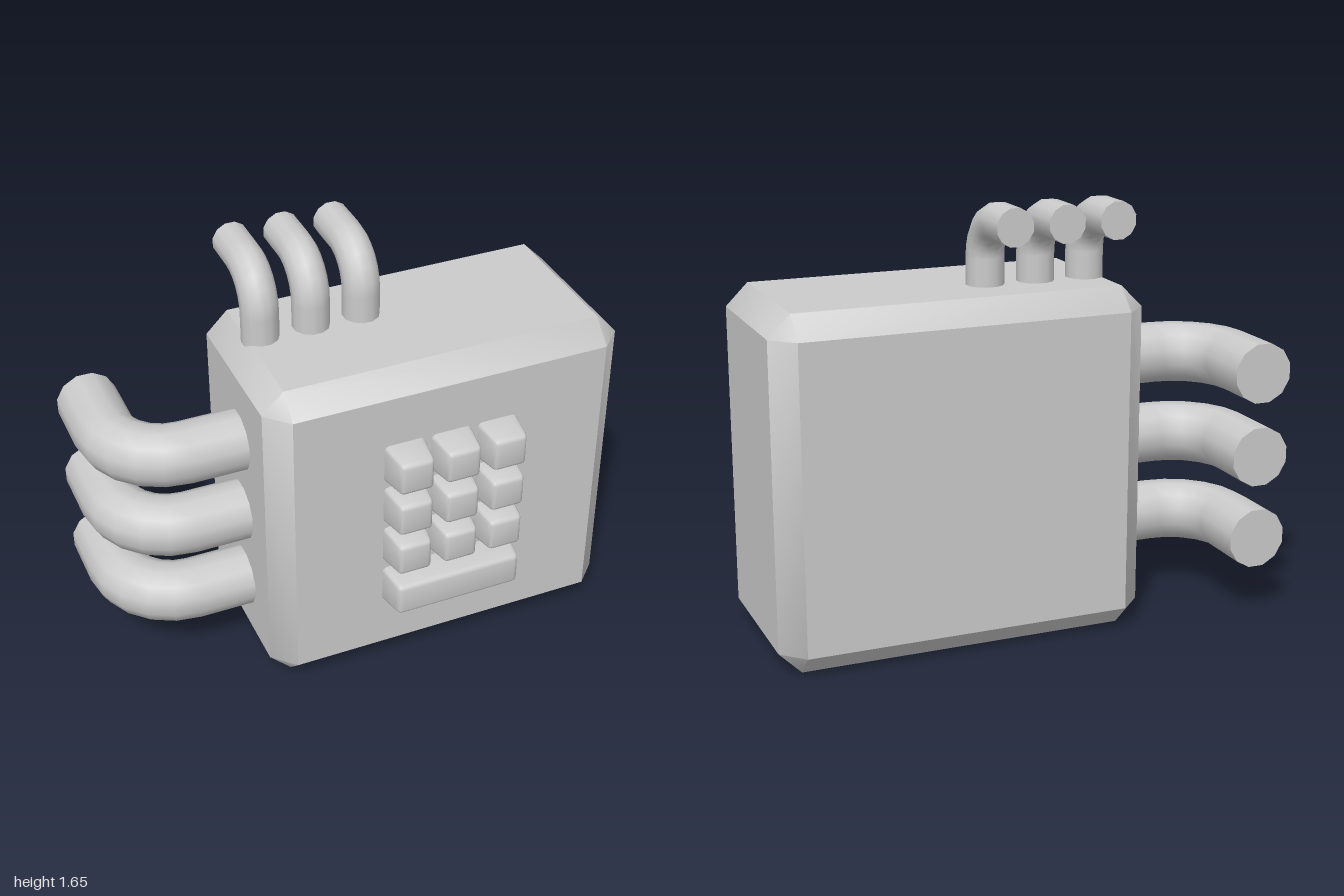
import * as THREE from 'three';
import { toCreasedNormals, mergeVertices } from 'three/addons/utils/BufferGeometryUtils.js';
import { RoundedBoxGeometry } from 'three/addons/geometries/RoundedBoxGeometry.js';
import { ConvexGeometry } from 'three/addons/geometries/ConvexGeometry.js';

const material = new THREE.MeshStandardMaterial({ color: 0xcccccc });

function addMesh(parent, name, geometry, x, y, z) {
  const mesh = new THREE.Mesh(geometry, material);
  mesh.name = name;
  mesh.position.set(x, y, z);
  parent.add(mesh);
  return mesh;
}

// Box with every edge cut at 45 degrees; bevels blend, main faces stay flat
function chamferedBox(w, h, d, c) {
  const points = [];
  for (const sx of [-1, 1]) for (const sy of [-1, 1]) for (const sz of [-1, 1]) {
    const x = w / 2, y = h / 2, z = d / 2;
    points.push(
      new THREE.Vector3(sx * x, sy * (y - c), sz * (z - c)),
      new THREE.Vector3(sx * (x - c), sy * y, sz * (z - c)),
      new THREE.Vector3(sx * (x - c), sy * (y - c), sz * z));
  }
  return toCreasedNormals(new ConvexGeometry(points), 0.7);
}

// Capped pipe rising along +y, then bending a quarter turn towards -z
function bentPipe(radius, rise, bend, run, arcSteps) {
  const rows = arcSteps + 2;
  const geo = new THREE.CylinderGeometry(radius, radius, 1, 12, rows, false, Math.PI / 12);
  const pos = geo.attributes.position, nor = geo.attributes.normal;
  for (let i = 0; i < pos.count; i++) {
    const row = Math.round((pos.getY(i) + 0.5) * rows);
    const a = THREE.MathUtils.clamp((row - 1) / arcSteps, 0, 1) * Math.PI / 2;
    const s = Math.sin(a), c = Math.cos(a);
    const cy = row === 0 ? 0 : rise + bend * s;
    const cz = -bend * (1 - c) - (row === rows ? run : 0);
    const z = pos.getZ(i), ny = nor.getY(i), nz = nor.getZ(i);
    pos.setXYZ(i, pos.getX(i), cy + z * s, cz + z * c);
    nor.setXYZ(i, nor.getX(i), ny * c + nz * s, -ny * s + nz * c);
  }
  return geo;
}

// Rounded key that narrows towards its front
function keyGeometry(w, h, d) {
  let geo = new RoundedBoxGeometry(w, h, d, 2, 0.022);
  const pos = geo.attributes.position;
  for (let i = 0; i < pos.count; i++) {
    const inset = 0.02 * (pos.getZ(i) / d + 0.5);
    pos.setX(i, pos.getX(i) * (1 - 2 * inset / w));
    pos.setY(i, pos.getY(i) * (1 - 2 * inset / h));
  }
  geo.deleteAttribute('normal');
  geo.deleteAttribute('uv');
  geo = mergeVertices(geo, 1e-5);
  return toCreasedNormals(geo, 0.6);
}

export function createModel() {
  const model = new THREE.Group();
  model.name = 'keypadBox';

  addMesh(model, 'body', chamferedBox(1.43, 1.33, 0.755, 0.085), 0.285, 0.665, -0.035);

  // Three thick pipes on the right side, turning backwards
  const sidePipe = bentPipe(0.119, 0.265, 0.235, 0.235, 5);
  for (const y of [0.315, 0.645, 0.975]) {
    addMesh(model, 'sidePipe', sidePipe, -0.38, y, 0).rotation.z = Math.PI / 2;
  }

  // Three thin pipes on top, turning backwards
  const topPipe = bentPipe(0.072, 0.155, 0.15, 0.14, 6);
  for (const x of [-0.293, -0.092, 0.11]) {
    addMesh(model, 'topPipe', topPipe, x, 1.28, -0.11);
  }

  // Keypad: three by three keys above one wide key
  const keypad = new THREE.Group();
  keypad.name = 'keypad';
  model.add(keypad);
  const depth = 0.155, keyZ = 0.465 - depth / 2;
  const key = keyGeometry(0.172, 0.172, depth);
  for (let row = 0; row < 3; row++) {
    for (let col = 0; col < 3; col++) {
      addMesh(keypad, 'key', key, 0.092 + col * 0.189, 0.96 - row * 0.19, keyZ);
    }
  }
  addMesh(keypad, 'wideKey', keyGeometry(0.55, 0.172, depth), 0.281, 0.382, keyZ);

  return model;
}
